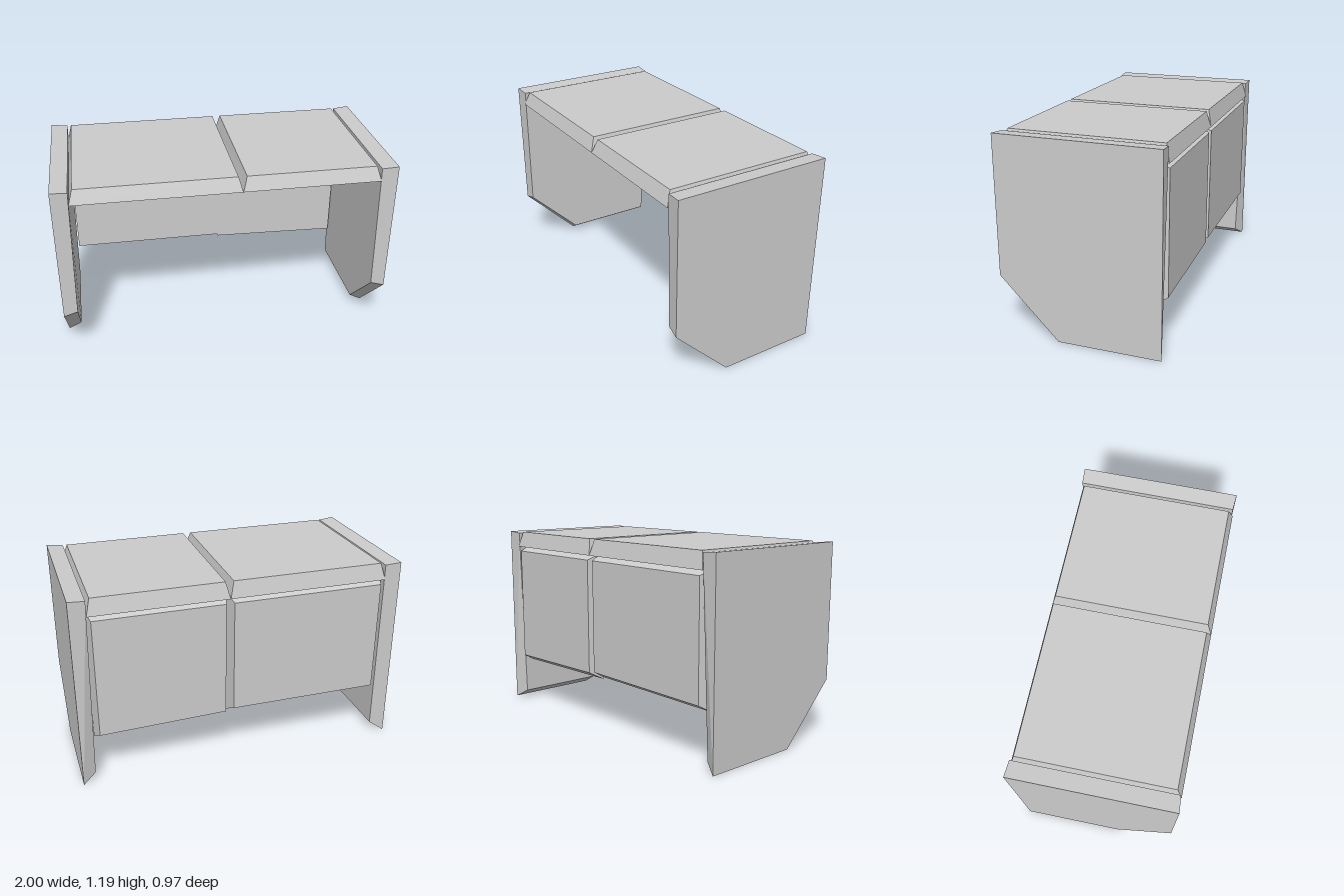
import * as THREE from 'three';

const grey = new THREE.MeshStandardMaterial({ color: 0xcccccc, flatShading: true });

// Closed solid between two matching convex loops of [x, y, z] corners
function loft(name, a, b) {
  const n = a.length;
  const tris = [];
  for (let i = 0; i < n; i++) {
    const j = (i + 1) % n;
    tris.push([a[i], a[j], b[j]], [a[i], b[j], b[i]]);
    if (i > 0 && i < n - 1) tris.push([a[0], a[i + 1], a[i]], [b[0], b[i], b[i + 1]]);
  }
  // Turn the faces outward whichever way the loops run
  const v = (p) => new THREE.Vector3(...p);
  const volume = tris.reduce((s, [p, q, r]) => s + v(p).dot(v(q).cross(v(r))), 0);
  if (volume < 0) tris.forEach((t) => t.reverse());
  const geometry = new THREE.BufferGeometry();
  geometry.setAttribute('position', new THREE.Float32BufferAttribute(tris.flat(2), 3));
  geometry.computeVertexNormals();
  const mesh = new THREE.Mesh(geometry, grey);
  mesh.name = name;
  return mesh;
}

// Side panel: cut lower front corner, inner face slightly smaller and leaning
function sidePanel(name, s) {
  const outer = [[1.19, 0.484], [0.36, 0.484], [0, 0.13], [0, -0.484], [1.19, -0.484]]
    .map(([y, z]) => [s, y, z]);
  const inner = [[0.9, 1.182, 0.476], [0.917, 0.38, 0.476], [0.92, 0.05, 0.145], [0.92, 0.05, -0.445], [0.9, 1.182, -0.478]]
    .map(([x, y, z]) => [s * x, y, z]);
  return loft(name, outer, inner);
}

// Table top slab: bevelled on all four edges, underside rising to the front
function topSlab(name, x0, x1) {
  const b = 0.025;
  const base = [[x0, 1.105, 0.484], [x1, 1.105, 0.484], [x1, 1.09, -0.484], [x0, 1.09, -0.484]];
  const top = [[x0 + b, 1.19, 0.453], [x1 - b, 1.19, 0.453], [x1 - b, 1.19, -0.46], [x0 + b, 1.19, -0.46]];
  return loft(name, base, top);
}

// Back panel: bevelled toward the rear, with its own lower edge heights
function backPanel(name, x0, x1, y0, y1) {
  const b = 0.025;
  const front = [[x0, y0, -0.39], [x1, y1, -0.39], [x1, 1.1, -0.39], [x0, 1.1, -0.39]];
  const rear = [[x0 + b, y0 + 0.05, -0.48], [x1 - b, y1 + 0.05, -0.48], [x1 - b, 1.06, -0.48], [x0 + b, 1.06, -0.48]];
  return loft(name, front, rear);
}

export function createModel() {
  const desk = new THREE.Group();
  desk.name = 'desk';
  desk.add(
    sidePanel('leftSidePanel', 1),
    sidePanel('rightSidePanel', -1),
    topSlab('rightTopSlab', -0.902, 0.08),
    topSlab('leftTopSlab', 0.08, 0.902),
    backPanel('rightBackPanel', -0.905, 0.08, 0.31, 0.31),
    backPanel('leftBackPanel', 0.08, 0.905, 0.297, 0.275),
  );
  return desk;
}
